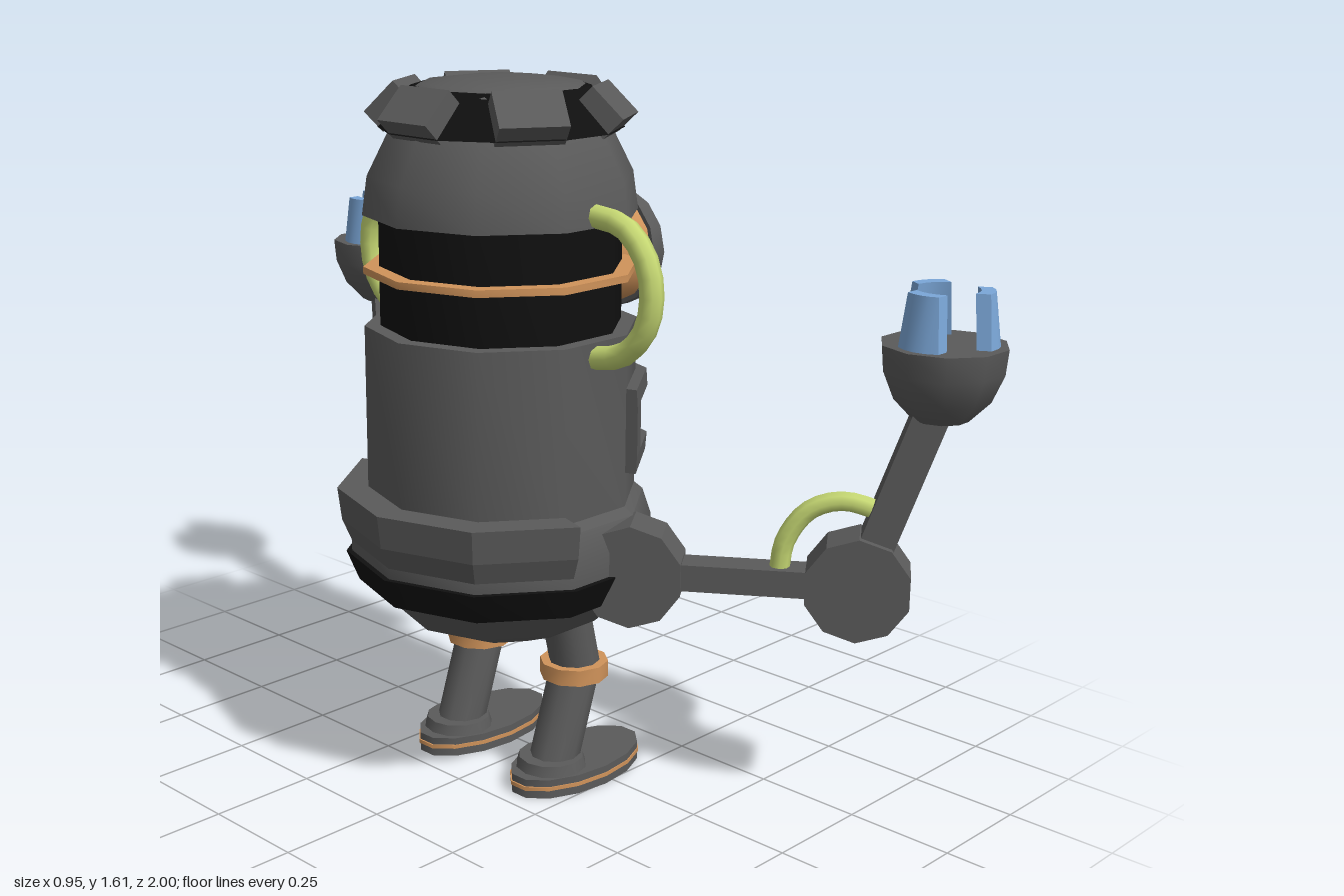
import * as THREE from 'three';
import { toCreasedNormals } from 'three/addons/utils/BufferGeometryUtils.js';

const mat = (name, color, side = THREE.FrontSide) => {
  const m = new THREE.MeshStandardMaterial({ color, side });
  m.name = name;
  return m;
};

export function createModel() {
  const gray = mat('body gray', 0x5a5a5a);
  const black = mat('black', 0x101010);
  const copper = mat('copper', 0xd0935a, THREE.DoubleSide);
  const lime = mat('lime hose', 0xc6d873);
  const blue = mat('claw blue', 0x7ba7d8);
  const light = mat('light gray', 0xb9b9b9, THREE.DoubleSide);
  const orange = mat('orange', 0xdb762e);
  const white = mat('white', 0xececec);

  const model = new THREE.Group();
  model.name = 'robot';
  const body = new THREE.Group();
  body.name = 'body';
  body.position.x = -0.105;
  model.add(body);

  const add = (parent, name, geo, material, x = 0, y = 0, z = 0) => {
    const m = new THREE.Mesh(geo, material);
    m.name = name;
    m.position.set(x, y, z);
    parent.add(m);
    return m;
  };
  const crease = (g, a = 0.7) => toCreasedNormals(g, a);
  const V = (x, y, z) => new THREE.Vector3(x, y, z);

  // Ten-sided turned part, profile as [radius, y] from bottom to top
  const turned = (pts) => crease(new THREE.LatheGeometry(
    pts.map(([r, y]) => new THREE.Vector2(r, y)), 10, Math.PI / 2));

  // Solid arc that follows the ten-sided body between angles a and b (degrees)
  const band = (rIn, rBot, rTop, y0, y1, a, b) => {
    const angles = [a];
    for (let k = Math.floor(a / 36) * 36 + 36; k < b - 0.01; k += 36) if (k > a) angles.push(k);
    angles.push(b);
    const P = (r, y, d) => {
      const local = ((d % 36) + 36) % 36 - 18;
      const q = r * Math.cos(Math.PI / 10) / Math.cos(local * Math.PI / 180);
      const t = d * Math.PI / 180;
      return [q * Math.cos(t), y, q * Math.sin(t)];
    };
    const pos = [];
    const quad = (p, q, r, s) => pos.push(...p, ...q, ...r, ...p, ...r, ...s);
    for (let i = 0; i < angles.length - 1; i++) {
      const s = angles[i], e = angles[i + 1];
      quad(P(rBot, y0, e), P(rBot, y0, s), P(rTop, y1, s), P(rTop, y1, e));
      quad(P(rIn, y1, s), P(rIn, y1, e), P(rTop, y1, e), P(rTop, y1, s));
      quad(P(rBot, y0, s), P(rBot, y0, e), P(rIn, y0, e), P(rIn, y0, s));
    }
    quad(P(rBot, y0, a), P(rIn, y0, a), P(rIn, y1, a), P(rTop, y1, a));
    quad(P(rIn, y0, b), P(rBot, y0, b), P(rTop, y1, b), P(rIn, y1, b));
    const g = new THREE.BufferGeometry();
    g.setAttribute('position', new THREE.Float32BufferAttribute(pos, 3));
    g.computeVertexNormals();
    return g;
  };

  const rod = (parent, name, a, b, r, material, sides = 10) => {
    const d = b.clone().sub(a);
    const m = add(parent, name, crease(new THREE.CylinderGeometry(r, r, d.length(), sides)), material);
    m.position.copy(a).addScaledVector(d, 0.5);
    m.quaternion.setFromUnitVectors(V(0, 1, 0), d.normalize());
    return m;
  };
  const hose = (parent, name, pts, r) => add(parent, name,
    new THREE.TubeGeometry(new THREE.CatmullRomCurve3(pts), 14, r, 8), lime);

  // Trunk
  add(body, 'bowl', turned([[0, 0.33], [0.12, 0.345], [0.235, 0.395], [0.31, 0.475]]), gray);
  add(body, 'hipBand', turned([[0.3, 0.475], [0.33, 0.475], [0.358, 0.545], [0.3, 0.545]]), black);
  add(body, 'hip', turned([[0.345, 0.545], [0.345, 0.6], [0.325, 0.66], [0.29, 0.69]]), gray);
  add(body, 'collarLower', band(0.29, 0.335, 0.366, 0.545, 0.62, 108, 252), gray);
  add(body, 'collarUpper', band(0.29, 0.366, 0.375, 0.62, 0.695, 108, 252), gray);
  add(body, 'torso', turned([[0.305, 0.66], [0.305, 1.065], [0.25, 1.065]]), gray);
  add(body, 'visorBand', turned([[0.27, 1.06], [0.27, 1.315]]), black);
  add(body, 'strap', turned([[0.265, 1.181], [0.305, 1.181], [0.305, 1.197], [0.265, 1.197]]), copper);
  add(body, 'head', turned([[0.25, 1.31], [0.305, 1.31], [0.293, 1.395], [0.245, 1.49], [0.2, 1.55]]), gray);
  add(body, 'cap', turned([[0.2, 1.575], [0.175, 1.592], [0.09, 1.603], [0, 1.606]]), gray);

  // Crown: black ring with six tilted blocks
  const ring = new THREE.CylinderGeometry(0.195, 0.268, 0.09, 12, 1, false, Math.PI / 12);
  add(body, 'crownRing', crease(ring, 0.2), black, 0, 1.54);
  for (let i = 0; i < 6; i++) {
    const spoke = new THREE.Group();
    spoke.name = 'crownBlock';
    spoke.rotation.y = i * Math.PI / 3;
    body.add(spoke);
    add(spoke, 'block', new THREE.BoxGeometry(0.06, 0.095, 0.15), gray, 0.232, 1.54).rotation.z = 0.78;
  }

  // Eye: hollow tube with rim and iris
  const eye = new THREE.Group();
  eye.name = 'eye';
  eye.position.set(0.25, 1.187, 0);
  eye.rotation.z = -Math.PI / 2;
  body.add(eye);
  const lathe = (pts, n) => crease(new THREE.LatheGeometry(pts.map(([r, y]) => new THREE.Vector2(r, y)), n));
  add(eye, 'eyeTube', crease(new THREE.CylinderGeometry(0.128, 0.128, 0.11, 14, 1, true)), copper, 0, 0.055);
  add(eye, 'eyeRim', lathe([[0.1, 0.1], [0.138, 0.1], [0.138, 0.135], [0.1, 0.135], [0.1, 0.1]], 14), gray);
  add(eye, 'iris', lathe([[0.104, 0.122], [0.047, 0.118]], 14), light);
  add(eye, 'pupilTube', crease(new THREE.CylinderGeometry(0.05, 0.09, 0.09, 12, 1, true)), copper, 0, 0.072);

  // Chest display
  const chest = new THREE.Group();
  chest.name = 'chestDisplay';
  body.add(chest);
  add(chest, 'frameTop', band(0.3, 0.333, 0.33, 0.905, 0.945, -72, 72), gray);
  add(chest, 'frameBottom', band(0.3, 0.33, 0.333, 0.755, 0.795, -72, 72), gray);
  for (const [a, b] of [[-72, -60], [60, 72]])
    add(chest, 'frameEnd', band(0.3, 0.333, 0.333, 0.795, 0.905, a, b), gray);
  const plate = (name, r, y0, y1, a, b, m) => add(chest, name, band(r - 0.003, r, r, y0, y1, a, b), m);
  plate('displayPlate', 0.31, 0.795, 0.905, -60, 60, light);
  plate('screenBorder', 0.313, 0.812, 0.888, -5, 34.8, lime);
  plate('screen', 0.316, 0.82, 0.88, -3.5, 33.3, black);
  plate('screenLine', 0.318, 0.847, 0.853, 4, 26, white);
  for (let i = 0; i < 5; i++) plate('screenTick', 0.318, 0.841, 0.859, 7 + i * 3.6, 8.3 + i * 3.6, white);
  plate('orangeButton', 0.313, 0.812, 0.888, -27, -10, orange);
  plate('buttonDot', 0.316, 0.836, 0.864, -21.5, -15.5, white);
  plate('bluePanel', 0.313, 0.812, 0.888, -54, -32, blue);
  plate('panelMark', 0.316, 0.846, 0.854, -46, -38, white);

  // Three bent claws standing on the hand
  const clawGeo = () => {
    const g = new THREE.BoxGeometry(0.03, 0.125, 0.1, 1, 1, 4);
    const p = g.attributes.position;
    for (let i = 0; i < p.count; i++) {
      const top = p.getY(i) > 0;
      const z = p.getZ(i) * (top ? 0.75 : 1);
      p.setXYZ(i, p.getX(i) + (top ? 0.083 : 0.1) - 7 * z * z, p.getY(i), z);
    }
    return crease(g, 0.5);
  };

  for (const s of [1, -1]) {
    const side = s > 0 ? 'left' : 'right';

    // Side handle
    hose(body, side + 'Handle', [[0.26, 1.335], [0.365, 1.32], [0.425, 1.26], [0.443, 1.185],
      [0.425, 1.11], [0.365, 1.05], [0.26, 1.025]].map(([z, y]) => V(0, y, z * s)), 0.026);

    // Leg
    const leg = new THREE.Group();
    leg.name = side + 'Leg';
    leg.position.set(0.105, 0, 0.157 * s);
    body.add(leg);
    rod(leg, 'thigh', V(-0.068, 0.44, 0), V(-0.023, 0.255, 0), 0.058, gray);
    rod(leg, 'shin', V(-0.023, 0.275, 0), V(-0.097, 0.05, 0), 0.057, gray);
    add(leg, 'kneeBand', crease(new THREE.CylinderGeometry(0.079, 0.079, 0.038, 10)), copper, -0.03, 0.264);
    add(leg, 'ankle', crease(new THREE.CylinderGeometry(0.075, 0.083, 0.028, 12)), gray, -0.105, 0.055);
    add(leg, 'foot', crease(new THREE.CylinderGeometry(0.1, 0.1, 0.045, 14)), gray, -0.025, 0.0225).scale.x = 1.88;
    add(leg, 'footTrim', crease(new THREE.CylinderGeometry(0.102, 0.102, 0.009, 14)), copper, -0.025, 0.024).scale.x = 1.88;

    // Arm: local x runs outward along the upper arm, origin at the elbow
    const swing = new THREE.Group();
    swing.name = side + 'Arm';
    swing.rotation.y = s > 0 ? 0 : 0.035;
    body.add(swing);
    const arm = new THREE.Group();
    arm.name = 'armParts';
    arm.position.set(0.355, 0.545, 0.735 * s);
    arm.rotation.y = -0.963 * s;
    swing.add(arm);
    for (const [name, x] of [['shoulder', -0.49], ['elbow', 0]]) {
      const j = add(arm, name, crease(new THREE.CylinderGeometry(0.117, 0.117, 0.11, 10), 0.3), gray, x);
      j.rotation.x = Math.PI / 2;
      add(arm, name + 'Face', new THREE.CylinderGeometry(0.088, 0.088, 0.006, 10), black, x, 0, -0.055 * s)
        .rotation.x = Math.PI / 2;
    }
    add(arm, 'upperArm', new THREE.BoxGeometry(0.49, 0.06, 0.072), gray, -0.245);
    const fore = add(arm, 'forearm', new THREE.BoxGeometry(0.075, 0.4, 0.075), gray, 0.078, 0.22);
    fore.rotation.z = -0.33;
    hose(arm, 'elbowHose', [V(-0.17, 0.015, 0), V(-0.158, 0.09, 0), V(-0.11, 0.16, 0),
      V(-0.04, 0.185, 0), V(0.05, 0.165, 0)], 0.022);

    // Hand
    const hand = new THREE.Group();
    hand.name = 'hand';
    hand.position.set(0.154, 0, 0);
    hand.rotation.y = 0.963 * s;
    arm.add(hand);
    add(hand, 'palm', turned([[0, 0.37], [0.06, 0.378], [0.105, 0.425], [0.13, 0.485],
      [0.135, 0.54], [0, 0.54]]), gray);
    for (let i = 0; i < 3; i++)
      add(hand, 'claw', clawGeo(), blue, 0, 0.593).rotation.y = Math.PI + i * Math.PI * 2 / 3;
  }
  return model;
}
